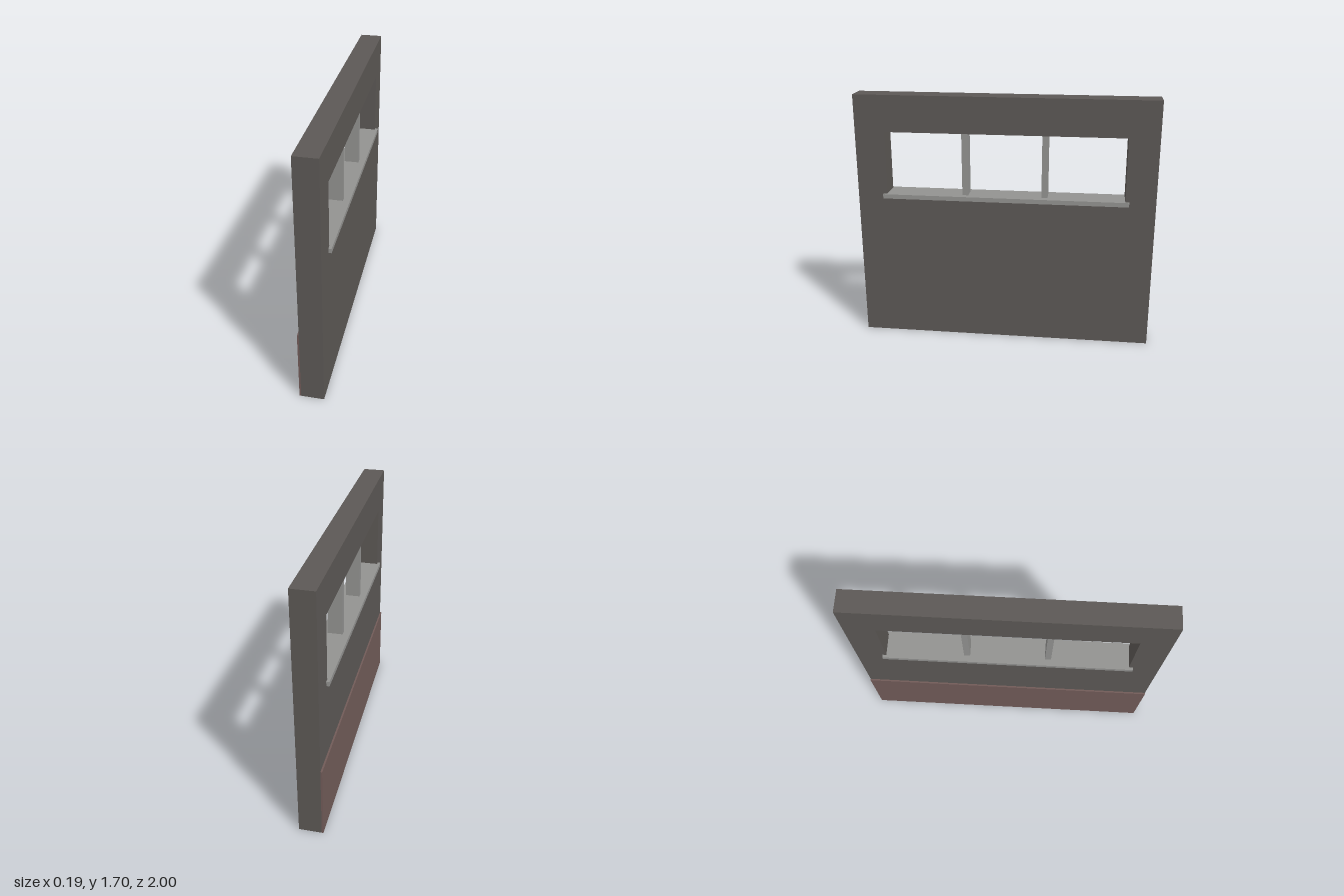
import * as THREE from 'three';

export function createModel() {
  const group = new THREE.Group();
  const wallMat = new THREE.MeshStandardMaterial({ color: 0x5c5855 });
  const frameMat = new THREE.MeshStandardMaterial({ color: 0x929290 });
  const panelMat = new THREE.MeshStandardMaterial({ color: 0x715b58 });

  const box = (name, mat, [w, h, d], [x, y, z]) => {
    const mesh = new THREE.Mesh(new THREE.BoxGeometry(w, h, d), mat);
    mesh.name = name;
    mesh.position.set(x, y, z);
    group.add(mesh);
  };

  // wall slab with a wide window opening, drawn in the z-y plane
  const T = 0.148;
  const outline = new THREE.Shape();
  outline.moveTo(-1, 0).lineTo(1, 0).lineTo(1, 1.7).lineTo(-1, 1.7).closePath();
  const opening = new THREE.Path();
  opening.moveTo(-0.8, 1).lineTo(-0.8, 1.455).lineTo(0.8, 1.455).lineTo(0.8, 1).closePath();
  outline.holes.push(opening);
  const wallGeo = new THREE.ExtrudeGeometry(outline, { depth: T, bevelEnabled: false });
  wallGeo.translate(0, 0, -T / 2).rotateY(Math.PI / 2);
  const wall = new THREE.Mesh(wallGeo, wallMat);
  wall.name = 'wall';
  group.add(wall);

  // window sill, projecting past both wall faces
  box('windowSill', frameMat, [0.186, 0.03, 1.65], [0, 1.015, 0]);

  // two upright bars dividing the opening into thirds
  for (const s of [-1, 1]) {
    box(s > 0 ? 'frontMullion' : 'backMullion', frameMat, [0.098, 0.425, 0.04], [0, 1.2425, s * 0.267]);
  }

  // thin base panel on the right face
  box('basePanel', panelMat, [0.011, 0.5, 2], [-0.0795, 0.25, 0]);

  return group;
}
